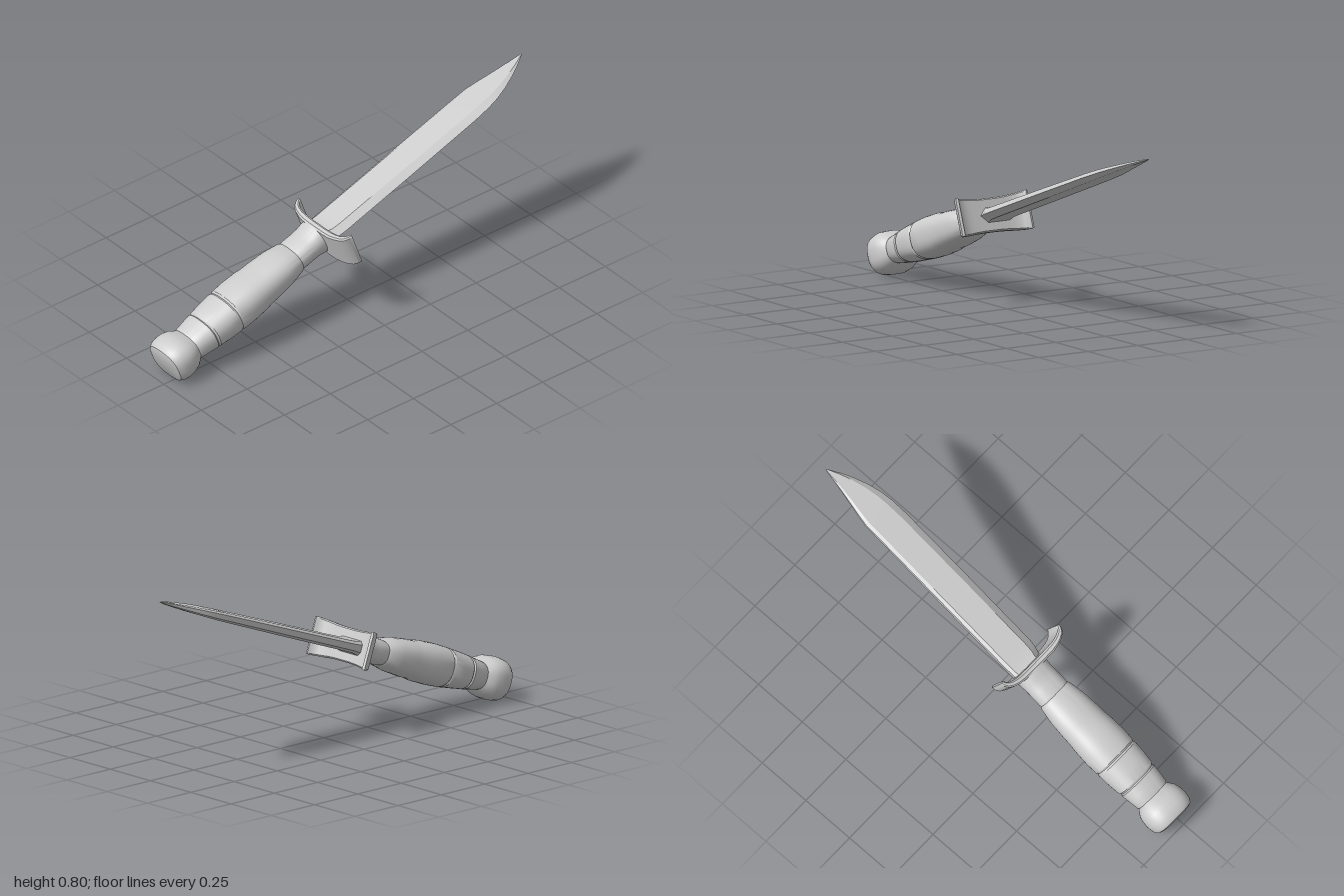
import * as THREE from 'three';
import { toCreasedNormals } from 'three/addons/utils/BufferGeometryUtils.js';

const material = new THREE.MeshStandardMaterial({ color: 0xcccccc });

// Skin a list of equal-length point rings, closing both ends.
function loft(name, rings, crease) {
  const n = rings[0].length, pos = [], index = [];
  rings.forEach(r => r.forEach(p => pos.push(...p)));
  for (let i = 0; i < rings.length - 1; i++) {
    for (let j = 0; j < n; j++) {
      const a = i * n + j, b = i * n + (j + 1) % n;
      index.push(a, a + n, b, b, a + n, b + n);
    }
  }
  const cap = (ring, start, flip) => {
    const c = pos.length / 3;
    pos.push(...[0, 1, 2].map(k => ring.reduce((t, p) => t + p[k], 0) / n));
    for (let j = 0; j < n; j++) {
      const a = start + j, b = start + (j + 1) % n;
      index.push(c, flip ? b : a, flip ? a : b);
    }
  };
  cap(rings[0], 0, false);
  cap(rings[rings.length - 1], (rings.length - 1) * n, true);
  const geo = new THREE.BufferGeometry();
  geo.setAttribute('position', new THREE.Float32BufferAttribute(pos, 3));
  geo.setIndex(index);
  const mesh = new THREE.Mesh(toCreasedNormals(geo, crease), material);
  mesh.name = name;
  return mesh;
}

// Rounded-oval ring across the handle axis: [along, half height, half width].
function oval([s, hu, hz], power, sides = 40) {
  const f = v => Math.sign(v) * Math.abs(v) ** (2 / power);
  return Array.from({ length: sides }, (_, j) => {
    const a = j / sides * Math.PI * 2;
    return [s, hu * f(Math.sin(a)), -0.027 + hz * f(Math.cos(a))];
  });
}

export function createModel() {
  const knife = new THREE.Group();
  knife.name = 'knife';

  // Pommel: bulging cap with a flat butt
  const pommel = [
    [-0.878, 0.066, 0.08], [-0.872, 0.08, 0.094], [-0.855, 0.09, 0.104], [-0.825, 0.094, 0.108],
    [-0.795, 0.09, 0.106], [-0.77, 0.08, 0.1], [-0.752, 0.068, 0.088], [-0.735, 0.058, 0.076],
  ];
  knife.add(loft('pommel', pommel.map(r => oval(r, 2.6)), 0.6));

  // Grip: swelling sections separated by narrow grooves
  const grip = [
    [-0.745, 0.058, 0.076], [-0.735, 0.063, 0.084], [-0.69, 0.069, 0.09], [-0.652, 0.075, 0.094],
    [-0.646, 0.07, 0.089], [-0.638, 0.076, 0.096], [-0.58, 0.082, 0.102], [-0.522, 0.087, 0.104],
    [-0.514, 0.082, 0.1], [-0.506, 0.088, 0.105], [-0.45, 0.09, 0.107], [-0.38, 0.088, 0.104],
    [-0.34, 0.082, 0.1], [-0.3, 0.081, 0.099], [-0.22, 0.074, 0.094], [-0.15, 0.06, 0.083],
    [-0.14, 0.054, 0.076], [-0.13, 0.056, 0.078], [-0.08, 0.056, 0.077], [-0.04, 0.06, 0.077],
    [-0.012, 0.07, 0.078], [0.01, 0.072, 0.08],
  ];
  knife.add(loft('grip', grip.map(r => oval(r, 2.5)), 0.55));

  // Crossguard: plate whose ends curl toward the blade, [along, across, half thickness, half height]
  const half = [
    [0.01, 0.04, 0.016, 0.073], [0.011, 0.085, 0.016, 0.075], [0.015, 0.115, 0.014, 0.078],
    [0.022, 0.14, 0.013, 0.08], [0.033, 0.16, 0.012, 0.082], [0.048, 0.171, 0.01, 0.083],
    [0.062, 0.176, 0.006, 0.083],
  ];
  const path = [...half.map(([s, z, w, h]) => [s, -z, w, h]).reverse(), ...half];
  const guardRings = path.map(([s, z, w, h], i) => {
    const p = path[Math.max(i - 1, 0)], q = path[Math.min(i + 1, path.length - 1)];
    const t = new THREE.Vector2(q[0] - p[0], q[1] - p[1]).normalize();
    const at = (u, k) => [s + t.y * k, u, z - t.x * k];
    const b = 0.006;
    return [at(h - b, -w), at(h, -w * 0.5), at(h, w * 0.5), at(h - b, w),
      at(b - h, w), at(-h, w * 0.5), at(-h, -w * 0.5), at(b - h, -w)];
  });
  knife.add(loft('crossguard', guardRings, 0.6));

  // Blade: clipped spine, curved belly, [along, spine z, edge z, half thickness]
  const stations = [
    [0.01, -0.1, 0.05, 0.036], [0.035, -0.102, 0.052, 0.03], [0.06, -0.103, 0.06, 0.026],
    [0.1, -0.104, 0.063, 0.025], [0.5, -0.104, 0.063, 0.023], [0.85, -0.104, 0.061, 0.02],
    [0.935, -0.104, 0.056, 0.018], [0.99, -0.096, 0.047, 0.016], [1.05, -0.085, 0.03, 0.013],
    [1.11, -0.075, 0.006, 0.01], [1.16, -0.068, -0.018, 0.007], [1.2, -0.063, -0.042, 0.004],
    [1.222, -0.059, -0.054, 0.001],
  ];
  const bladeRings = stations.map(([s, z0, z1, t]) => {
    const d = z1 - z0, back = z0 + d * 0.09, bevel = z1 - d * 0.2;
    return [[s, 0, z1], [s, t, bevel], [s, t, back], [s, t * 0.55, z0],
      [s, -t * 0.55, z0], [s, -t, back], [s, -t, bevel]];
  });
  knife.add(loft('blade', bladeRings, 0.4));

  // Lean the whole knife up toward its tip
  knife.rotation.z = THREE.MathUtils.degToRad(20);
  knife.position.set(-0.15, 0.385, 0);
  const model = new THREE.Group();
  model.name = 'model';
  model.add(knife);
  return model;
}
